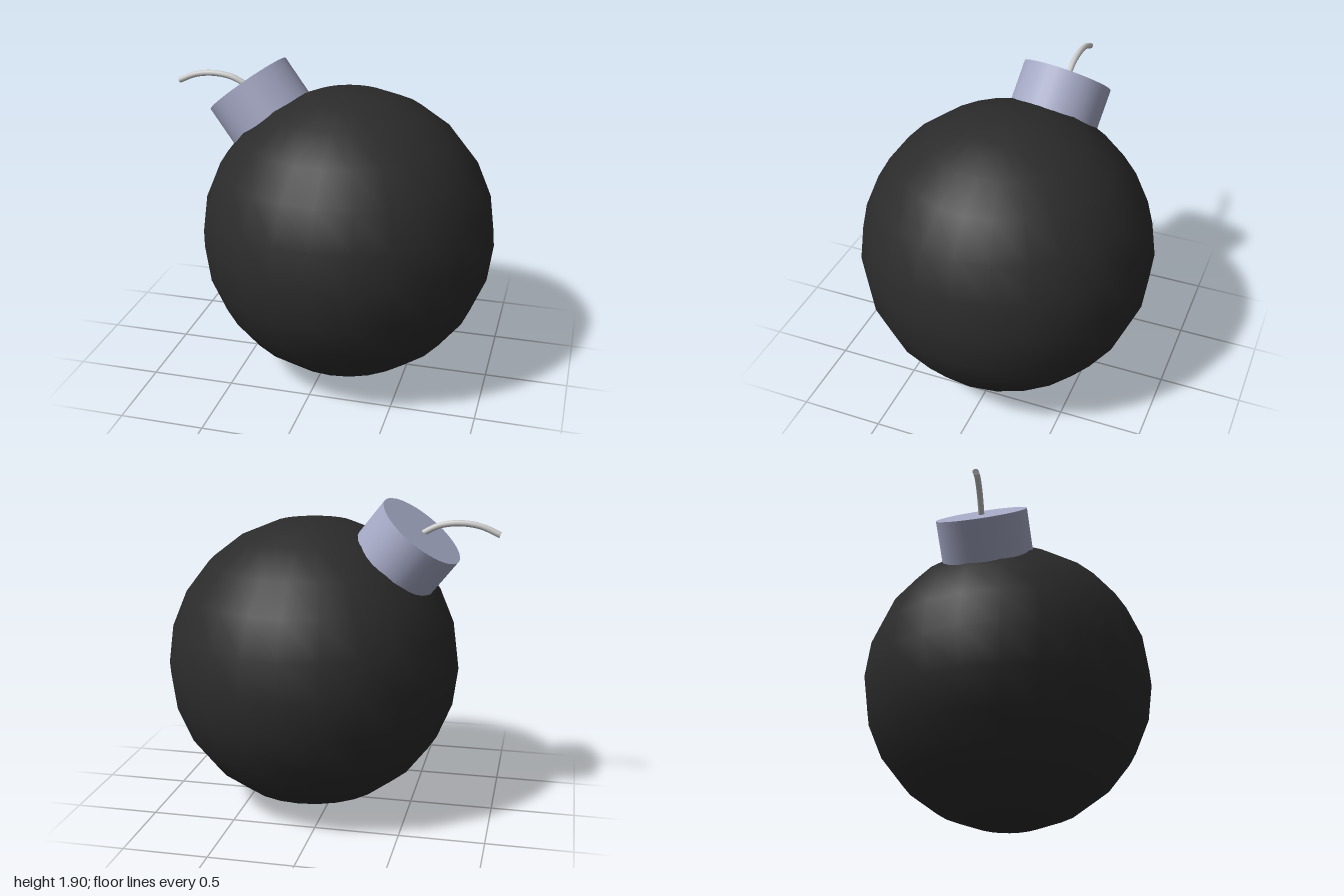
import * as THREE from 'three';

const RADIUS = 0.885;
const CENTRE = new THREE.Vector3(0.115, RADIUS, 0);
const AXIS = new THREE.Vector3(-0.614, 0.781, -0.115).normalize();

function addPart(group, name, geometry, color) {
  const mesh = new THREE.Mesh(geometry, new THREE.MeshStandardMaterial({ color }));
  mesh.name = name;
  group.add(mesh);
  return mesh;
}

export function createModel() {
  const model = new THREE.Group();
  model.name = 'bomb';

  // Round body
  addPart(model, 'body', new THREE.SphereGeometry(RADIUS, 24, 12), 0x2b2b2b).position.copy(CENTRE);

  // Neck: a short cylinder pointing straight out of the body, sunk into it
  const inner = 0.8, outer = 1.082;
  const neck = addPart(model, 'neck', new THREE.CylinderGeometry(0.275, 0.275, outer - inner, 32), 0xa4a8c4);
  neck.position.copy(CENTRE).addScaledVector(AXIS, (inner + outer) / 2);
  neck.quaternion.setFromUnitVectors(new THREE.Vector3(0, 1, 0), AXIS);

  // Fuse: a thin arc rising from the middle of the neck, with closed ends
  const z = -0.123, thickness = 0.018;
  const path = new THREE.CatmullRomCurve3([
    [-0.54, 1.708], [-0.645, 1.762], [-0.765, 1.78], [-0.885, 1.765], [-0.993, 1.72],
  ].map(([x, y]) => new THREE.Vector3(x, y, z)));
  const fuse = new THREE.Group();
  fuse.name = 'fuse';
  model.add(fuse);
  addPart(fuse, 'fuseCord', new THREE.TubeGeometry(path, 20, thickness, 10), 0xcccccc);
  for (const [t, sign] of [[0, -1], [1, 1]]) {
    const end = addPart(fuse, 'fuseEnd', new THREE.CircleGeometry(thickness, 10), 0xcccccc);
    end.position.copy(path.getPointAt(t));
    end.quaternion.setFromUnitVectors(
      new THREE.Vector3(0, 0, 1), path.getTangentAt(t).multiplyScalar(sign));
  }

  return model;
}
